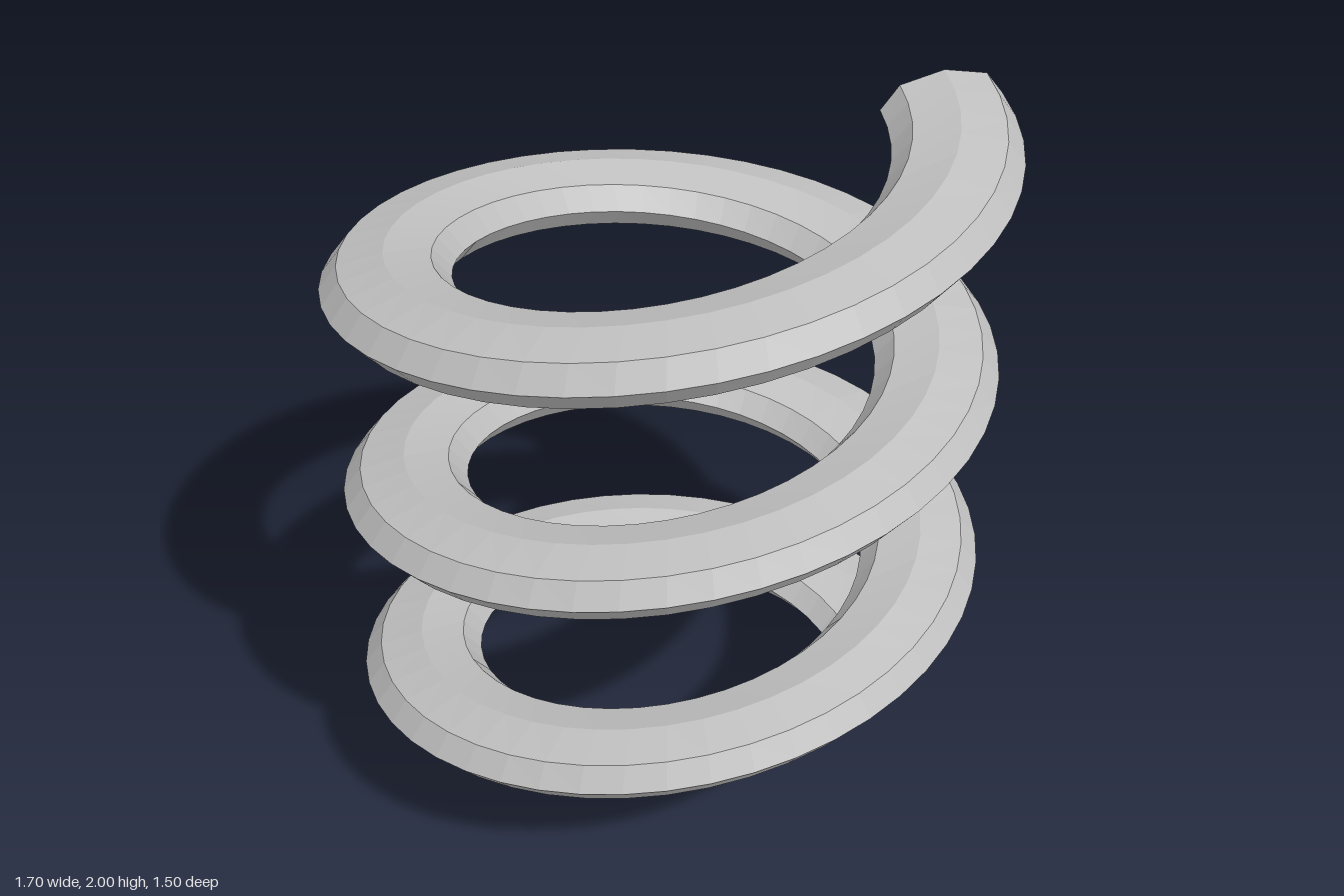
import * as THREE from 'three';

const TURNS = 3, STEPS = 48, SIDES = 8;
const RADIUS = 0.69, HALF_W = 0.16, HALF_H = 0.0845, DEPTH = 0.88;
const PITCH = (2 - 2 * HALF_H) / TURNS;

// Point on the coil: t turns along, side j of the flattened octagon section
function coilPoint(t, j) {
  const a = (j / SIDES) * Math.PI * 2, u = t * Math.PI * 2;
  const r = RADIUS + HALF_W * Math.cos(a);
  return [r * Math.cos(u), HALF_H + t * PITCH + HALF_H * Math.sin(a), -DEPTH * r * Math.sin(u)];
}

// Swept wire skin
function wireGeometry() {
  const pos = [], index = [], rings = TURNS * STEPS;
  for (let i = 0; i <= rings; i++) {
    for (let j = 0; j < SIDES; j++) pos.push(...coilPoint(i / STEPS, j));
  }
  for (let i = 0; i < rings; i++) {
    for (let j = 0; j < SIDES; j++) {
      const k = (j + 1) % SIDES;
      const a = i * SIDES + j, b = i * SIDES + k, c = a + SIDES, d = b + SIDES;
      index.push(a, c, b, b, c, d);
    }
  }
  return build(pos, index);
}

// Flat cut end of the wire
function capGeometry(t, flip) {
  const pos = [], index = [];
  for (let j = 0; j < SIDES; j++) pos.push(...coilPoint(t, j));
  for (let j = 1; j < SIDES - 1; j++) index.push(0, ...(flip ? [j + 1, j] : [j, j + 1]));
  return build(pos, index);
}

function build(pos, index) {
  const g = new THREE.BufferGeometry();
  g.setAttribute('position', new THREE.Float32BufferAttribute(pos, 3));
  g.setIndex(index);
  const flat = g.toNonIndexed();
  flat.computeVertexNormals();
  return flat;
}

export function createModel() {
  const group = new THREE.Group();
  group.name = 'coilSpring';
  const steel = new THREE.MeshStandardMaterial({ color: 0xbfbfbf });
  steel.name = 'steel grey';
  const add = (name, geometry) => {
    const mesh = new THREE.Mesh(geometry, steel);
    mesh.name = name;
    group.add(mesh);
  };
  add('coil', wireGeometry());
  add('bottomEnd', capGeometry(0, false));
  add('topEnd', capGeometry(TURNS, true));
  return group;
}
